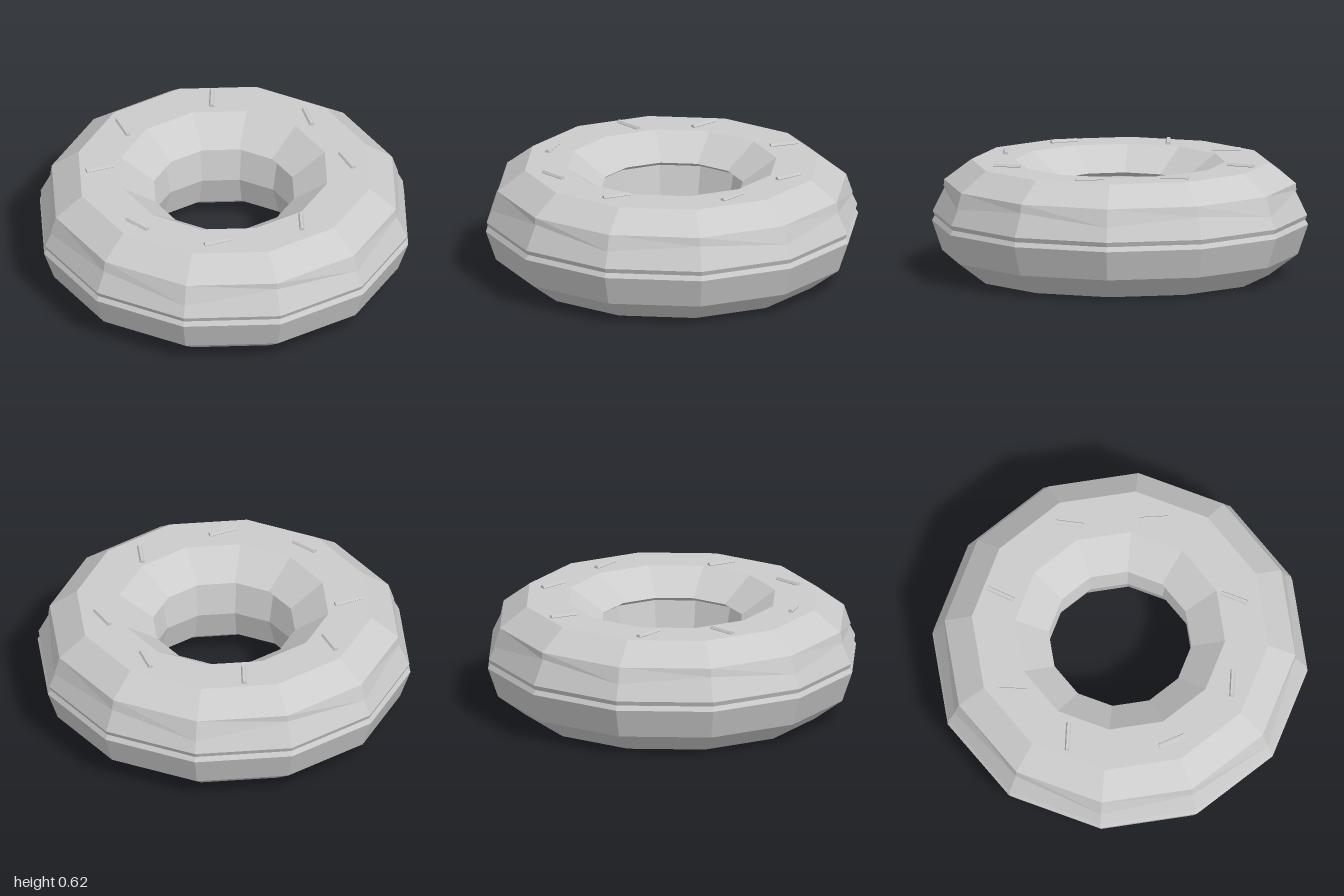
import * as THREE from 'three';

const SIDES = 12;

function ring(name, profile, material) {
  const points = profile.map(([r, y]) => new THREE.Vector2(r, y));
  const mesh = new THREE.Mesh(new THREE.LatheGeometry(points, SIDES), material);
  mesh.name = name;
  return mesh;
}

export function createModel() {
  const model = new THREE.Group();
  model.name = 'frostedRing';
  const material = new THREE.MeshStandardMaterial({ color: 0xcccccc, flatShading: true });

  // Dough: closed cross-section with a shallow groove round the outside
  model.add(ring('dough', [
    [0.385, 0.28], [0.43, 0.115], [0.59, 0], [0.79, 0], [0.945, 0.115], [1, 0.275],
    [0.985, 0.3], [0.995, 0.325], [0.925, 0.47], [0.78, 0.57], [0.58, 0.57],
    [0.42, 0.46], [0.385, 0.28],
  ], material));

  // Icing: its outer lower edge follows the dough at a wavy height
  const profile = [
    [0.42, 0.455], [0.85, 0.46], [0.96, 0.42], [0.935, 0.495],
    [0.79, 0.605], [0.56, 0.605], [0.38, 0.48], [0.42, 0.455],
  ];
  const icing = ring('icing', profile, material);
  const edgeHeights = [0.44, 0.39, 0.46, 0.41, 0.45, 0.4];
  const pos = icing.geometry.attributes.position;
  for (let i = 0; i <= SIDES; i++) {
    const y = edgeHeights[i % edgeHeights.length];
    const r = 1.002 - 0.48 * (y - 0.325);
    const a = (i / SIDES) * Math.PI * 2;
    pos.setXYZ(i * profile.length + 2, r * Math.sin(a), y, r * Math.cos(a));
  }
  icing.geometry.computeVertexNormals();
  model.add(icing);

  // Sprinkles: end points of each on the flat top, as x, z pairs
  const sprinkles = new THREE.Group();
  sprinkles.name = 'sprinkles';
  [
    [-0.065, -0.70, 0.065, -0.62], [0.35, -0.53, 0.495, -0.475],
    [0.575, 0.025, 0.68, 0.13], [0.39, 0.58, 0.458, 0.445],
    [-0.075, 0.68, 0.075, 0.68], [-0.53, 0.503, -0.46, 0.365],
    [-0.73, 0.04, -0.59, 0.108], [-0.543, -0.503, -0.445, -0.388],
  ].forEach(([x1, z1, x2, z2]) => {
    const length = Math.hypot(x2 - x1, z2 - z1);
    const geometry = new THREE.CylinderGeometry(0.014, 0.014, length, 6);
    geometry.rotateZ(Math.PI / 2);
    const sprinkle = new THREE.Mesh(geometry, material);
    sprinkle.name = 'sprinkle';
    sprinkle.position.set((x1 + x2) / 2, 0.608, (z1 + z2) / 2);
    sprinkle.rotation.y = -Math.atan2(z2 - z1, x2 - x1);
    sprinkles.add(sprinkle);
  });
  model.add(sprinkles);
  return model;
}
